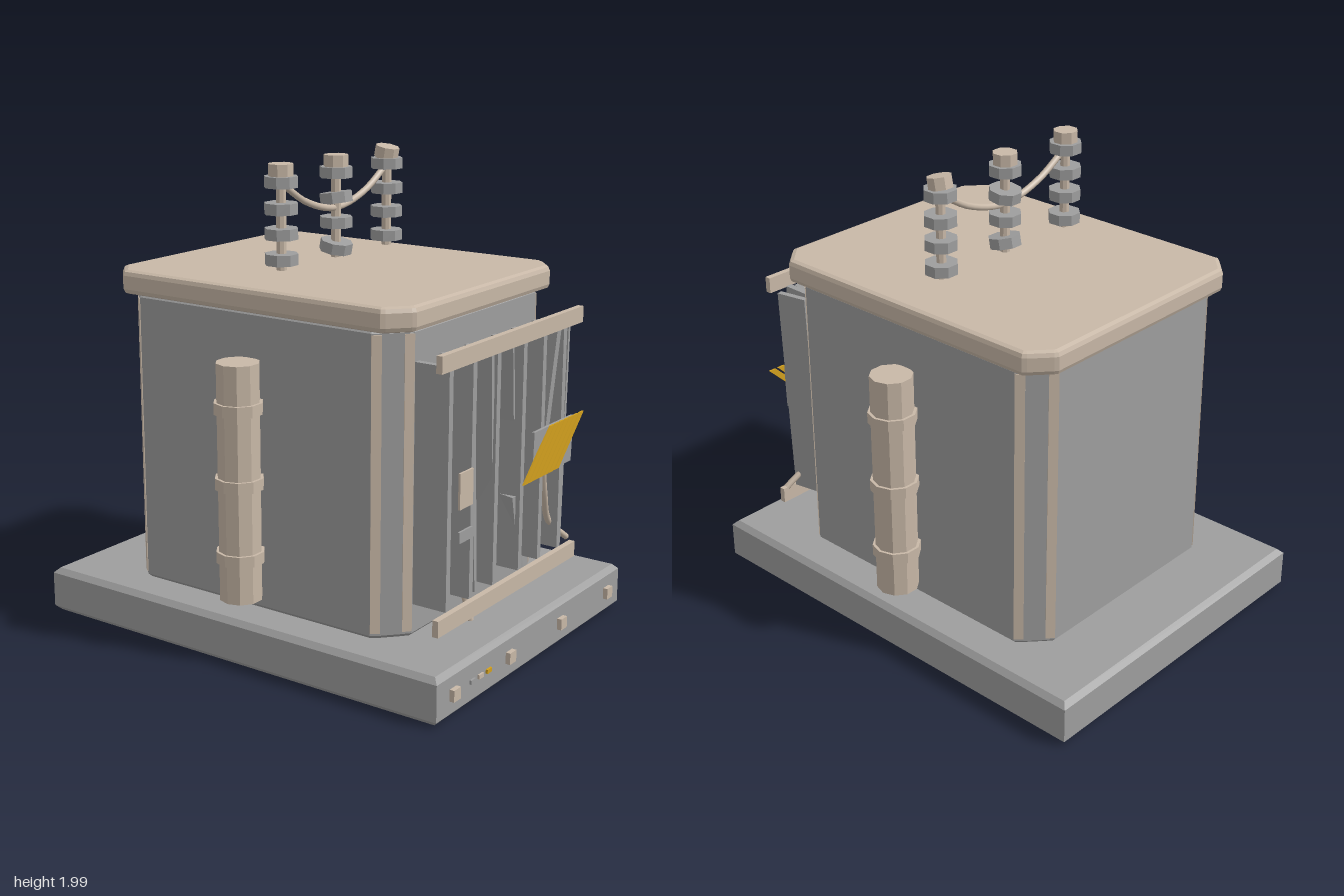
import * as THREE from 'three';

const mat = (name, color) => {
  const m = new THREE.MeshStandardMaterial({ color });
  m.name = name;
  return m;
};

export function createModel() {
  const grey = mat('steel grey', 0x9e9e9e);
  const tan = mat('pale tan', 0xc8b8a7);
  const yellow = mat('warning yellow', 0xd2a01e);
  const model = new THREE.Group();
  model.name = 'transformer';

  const add = (name, geometry, material, x = 0, y = 0, z = 0, parent = model) => {
    const mesh = new THREE.Mesh(geometry, material);
    mesh.name = name;
    mesh.position.set(x, y, z);
    parent.add(mesh);
    return mesh;
  };
  const box = (name, w, h, d, material, x, y, z, parent) =>
    add(name, new THREE.BoxGeometry(w, h, d), material, x, y, z, parent);
  // Faceted prism with crisp flat sides
  const prism = (name, rTop, rBottom, h, sides, material, x, y, z, parent) => {
    const g = new THREE.CylinderGeometry(rTop, rBottom, h, sides).toNonIndexed();
    g.rotateY(Math.PI / sides);
    g.computeVertexNormals();
    return add(name, g, material, x, y, z, parent);
  };
  // Bevelled slab standing on y, from a quarter outline mirrored to four corners
  const slab = (name, quarter, y, h, bevel, segments, material, z) => {
    const rev = [...quarter].reverse();
    const pts = [
      ...quarter,
      ...rev.map(([a, b]) => [-a, b]),
      ...quarter.map(([a, b]) => [-a, -b]),
      ...rev.map(([a, b]) => [a, -b]),
    ].map(([a, b]) => new THREE.Vector2(a, b));
    const g = new THREE.ExtrudeGeometry(new THREE.Shape(pts), {
      depth: h - 2 * bevel, bevelSize: bevel, bevelThickness: bevel,
      bevelOffset: -bevel, bevelSegments: segments,
    });
    g.rotateX(-Math.PI / 2);
    return add(name, g, material, 0, y + bevel, z);
  };
  const tube = (name, points, r, material) => {
    const curve = new THREE.CatmullRomCurve3(points.map(p => new THREE.Vector3(...p)));
    return add(name, new THREE.TubeGeometry(curve, 20, r, 8), material);
  };

  // Plinth, tank and lid
  slab('plinth', [[0.74, 0.985]], 0.005, 0.195, 0.022, 1, grey, -0.008);
  const corner = [[0.578, 0.575], [0.552, 0.605], [0.488, 0.665], [0.458, 0.69]];
  slab('tank', corner, 0.2, 1.235, 0.015, 1, grey, -0.01);
  slab('lid', [[0.608, 0.635], [0.595, 0.65], [0.52, 0.718], [0.505, 0.728]],
    1.43, 0.1, 0.022, 2, tan, -0.01);

  // Pale strips on the tank's corner edges
  for (const sx of [-1, 1]) for (const sz of [-1, 1]) for (const i of [0, 2]) {
    const [a, b] = [corner[i], corner[i + 1]];
    const dx = b[0] - a[0], dz = b[1] - a[1];
    const strip = box('cornerStrip', Math.hypot(dx, dz), 1.19, 0.008, tan,
      sx * (a[0] + b[0]) / 2, 0.82, -0.01 + sz * (a[1] + b[1]) / 2);
    strip.rotation.y = -Math.atan2(sz * dz, sx * dx);
  }

  // Side cooling columns with bands
  for (const s of [-1, 1]) {
    const column = new THREE.Group();
    column.name = s > 0 ? 'leftColumn' : 'rightColumn';
    column.position.set(s * 0.658, 0, -0.01);
    model.add(column);
    prism('columnPipe', 0.088, 0.088, 0.98, 10, tan, 0, 0.757, 0, column);
    for (const y of [0.45, 0.757, 1.065])
      prism('columnBand', 0.1, 0.1, 0.047, 10, tan, 0, y, 0, column);
  }

  // Front radiator: rails, straight fins, bent fins
  for (const y of [0.302, 1.335]) box('radiatorRail', 1.095, 0.068, 0.026, tan, 0, y, 0.845);
  for (const x of [-0.44, -0.27, -0.09, 0.115, 0.275, 0.445])
    box('fin', 0.028, 0.97, 0.155, grey, x, 0.82, 0.755);
  // Each bent fin runs from its top point to its bottom point
  const bent = [
    [-0.135, 1.3, -0.07, 0.34, 0.12], [0.01, 1.3, 0.06, 0.98, 0.3],
    [0.42, 1.3, 0.34, 0.74, -0.2], [0.5, 1.3, 0.46, 0.34, 0.2],
    [0.11, 0.65, 0.16, 0.33, -0.25], [-0.265, 1.1, -0.215, 0.34, 0.15],
  ];
  for (const [x0, y0, x1, y1, twist] of bent) {
    const fin = box('bentFin', 0.024, Math.hypot(x1 - x0, y1 - y0), 0.14, grey,
      (x0 + x1) / 2, (y0 + y1) / 2, 0.75);
    fin.rotation.set(0, twist, Math.atan2(x1 - x0, y0 - y1));
  }
  tube('looseCable', [[0.29, 0.74, 0.83], [0.35, 0.59, 0.81], [0.43, 0.45, 0.79], [0.54, 0.35, 0.82]], 0.014, tan);
  tube('hangingCable', [[-0.25, 0.75, 0.74], [-0.23, 0.5, 0.74], [-0.2, 0.32, 0.76], [-0.18, 0.2, 0.78]], 0.014, tan);

  // Warning panel with slanted stripes
  const panel = box('warningPanel', 0.33, 0.2, 0.012, grey, 0.305, 0.82, 0.861);
  panel.rotation.x = 0.03;
  const stripeShape = new THREE.Shape([[-0.12, -0.1], [-0.085, -0.1], [0.12, 0.1], [0.085, 0.1]]
    .map(p => new THREE.Vector2(...p)));
  const stripeGeo = new THREE.ExtrudeGeometry(stripeShape, { depth: 0.008, bevelEnabled: false });
  for (let i = 0; i < 7; i++)
    add('warningStripe', stripeGeo, yellow, 0.175 + i * 0.042 + (i > 5 ? 0.005 : 0), 0.82, 0.867);

  // Name plate and tag
  box('namePlate', 0.095, 0.145, 0.009, tan, -0.37, 0.818, 0.861);
  box('tagPlate', 0.095, 0.046, 0.009, grey, -0.37, 0.633, 0.861);

  // Plinth bolts and indicator marks
  for (const x of [-0.625, -0.21, 0.21, 0.625])
    box('plinthBolt', 0.048, 0.048, 0.025, tan, x, 0.105, 0.985);
  [grey, tan, yellow].forEach((m, i) =>
    box('indicator', 0.033, 0.017, 0.012, m, -0.49 + i * 0.06, 0.105, 0.98));

  // Insulators: rod, ribs and terminal, with slightly tilted ribs
  const ribHeights = [1.61, 1.712, 1.812, 1.917];
  [-0.37, 0, 0.37].forEach((x, k) => {
    const insulator = new THREE.Group();
    insulator.name = 'insulator';
    insulator.position.set(x, 0, -0.012);
    model.add(insulator);
    prism('insulatorRod', 0.021, 0.021, 0.4, 8, tan, 0, 1.765, 0, insulator);
    ribHeights.forEach((y, i) => {
      const rib = prism('insulatorRib', 0.069, 0.069, 0.045, 8, grey, 0, y, 0, insulator);
      if (k === 1 && i % 2 === 0) rib.rotation.x = i ? -0.15 : 0.2;
    });
    const cap = prism('terminal', 0.052, 0.052, 0.05, 8, tan, 0, 1.963, 0, insulator);
    if (k === 2) cap.rotation.x = 0.2;
  });
  tube('jumperWire', [[-0.36, 1.905, -0.012], [-0.2, 1.815, -0.012], [0, 1.77, -0.012],
    [0.2, 1.815, -0.012], [0.36, 1.905, -0.012]], 0.014, tan);

  return model;
}
